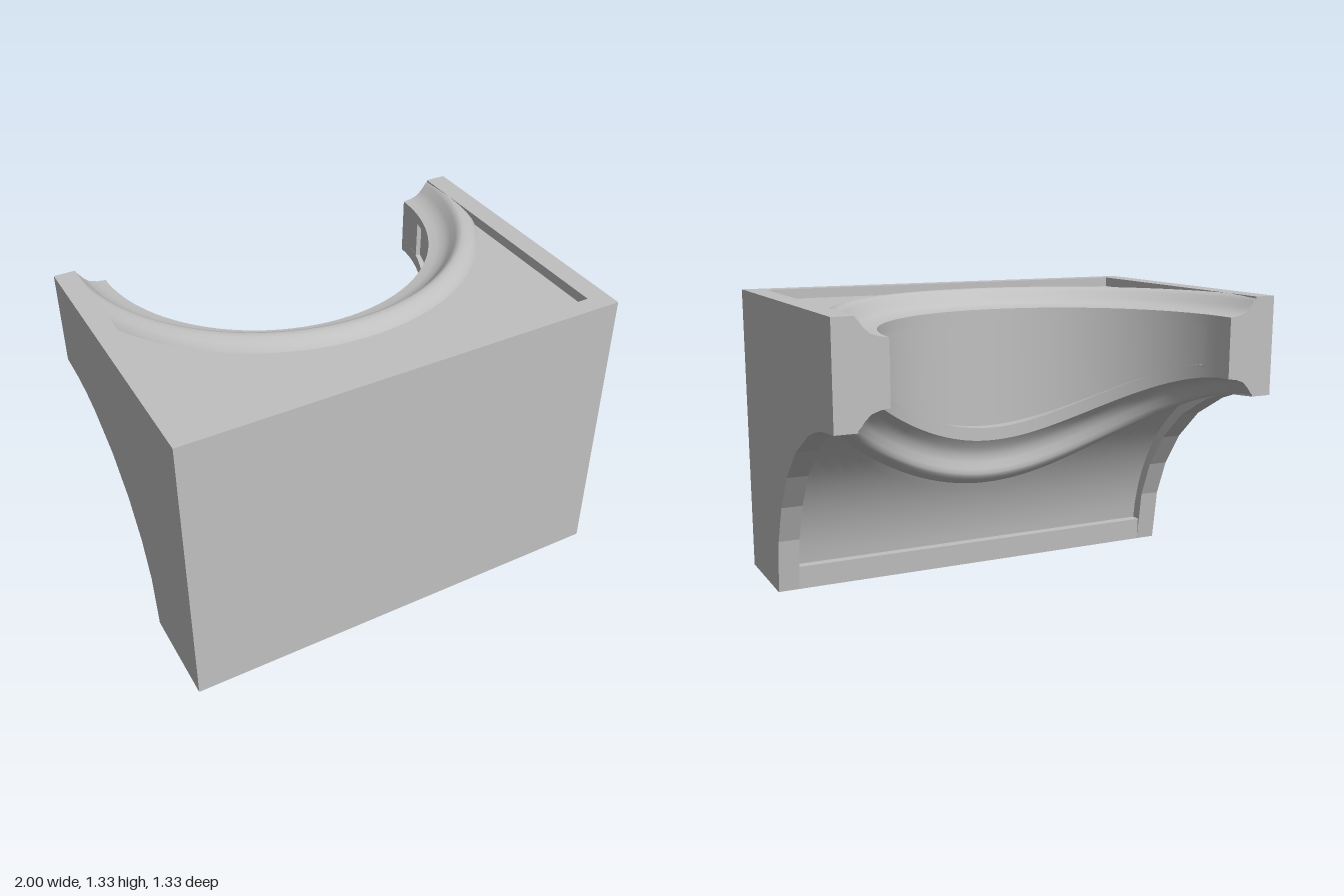
import * as THREE from 'three';
import { toCreasedNormals } from 'three/addons/utils/BufferGeometryUtils.js';

const W = 1, H = 1.33, D = 0.667;   // half width, height, half depth
const FRAME = 0.905;                // inner edge of the side frames
const VAULT = 0.893;                // vault radius, axis along x at y = 0, z = -D
const WELL = 0.775;                 // well radius, axis along y at x = 0, z = -D
const DROP = 0.085;                 // depth of the moulding at the well edge
const SILL = 0.12;                  // vault angle covered by the bottom frame

// moulding section: distance from the well edge, depth below the face
const SECTION = [[0, DROP], [0.04, 0.08], [0.075, 0.068], [0.1, 0.045], [0.12, 0.018], [0.135, 0.004],
  [0.15, 0], [0.17, 0.004], [0.195, 0.014], [0.213, 0.027], [0.225, 0.045]];
const RECESS = 0.045;

export function createModel() {
  const group = new THREE.Group();
  const stone = new THREE.MeshStandardMaterial({ color: 0xc0c0c0, side: THREE.DoubleSide });
  stone.name = 'grey stone';

  const add = (name, geometry) => {
    const mesh = new THREE.Mesh(geometry, stone);
    mesh.name = name;
    group.add(mesh);
    return mesh;
  };

  // surface through one row of points for each angle
  const surface = (name, angles, rowAt, flip) => {
    const rows = angles.map(rowAt), n = rows[0].length, index = [];
    for (let i = 0; i < rows.length - 1; i++) {
      for (let j = 0; j < n - 1; j++) {
        const a = i * n + j, b = a + n, c = a + 1, d = b + 1;
        if (flip) index.push(a, b, c, b, d, c);
        else index.push(a, c, b, b, c, d);
      }
    }
    const g = new THREE.BufferGeometry().setFromPoints(rows.flat());
    g.setIndex(index);
    add(name, toCreasedNormals(g, 0.55));
  };

  const shapeOf = (pts) => new THREE.Shape(pts.map(([a, b]) => new THREE.Vector2(a, b)));
  // (z, y) outline extruded from x1 down to x0
  const slab = (name, pts, x0, x1) => {
    const g = new THREE.ExtrudeGeometry(shapeOf(pts), { depth: x1 - x0, bevelEnabled: false });
    add(name, g.rotateY(-Math.PI / 2).translate(x1, 0, 0));
  };

  // frames: sides with the arch cut, front wall and sill
  const arch = [0, 16, 28, 40.5, 54, 68, 74, 80.5, 90].map((deg) => {
    const a = THREE.MathUtils.degToRad(deg);
    return [VAULT * Math.cos(a) - D, VAULT * Math.sin(a)];
  });
  const side = [[D, 0], [D, H], [-D, H], ...arch.reverse()];
  slab('leftSide', side, FRAME, W);
  slab('rightSide', side, -W, -FRAME);
  add('frontWall', new THREE.BoxGeometry(2 * W, H, 0.082)).position.set(0, H / 2, D - 0.041);
  slab('bottomFrame', [[D, 0], [D, VAULT * Math.sin(SILL)],
    [VAULT * Math.cos(SILL) - D, VAULT * Math.sin(SILL)], [VAULT - D, 0]], -FRAME, FRAME);

  const sweep = (from, to, n) => Array.from({ length: n + 1 }, (_, i) => from + (to - from) * i / n);
  const angles = sweep(-Math.PI / 2, Math.PI / 2, 64);

  // the lower lip of the well leans slightly inward at the middle
  const lipRadius = (t) => WELL - 0.035 * Math.cos(t) ** 2;

  // each decorated face: edge curve in flat coordinates, map into space, far edge of its panel
  const faces = [
    { name: 'top', flip: false, far: D + 0.586,
      edge: (t) => [WELL * Math.sin(t), WELL * Math.cos(t)],
      map: (x, q, d) => new THREE.Vector3(x, H - d, q - D) },
    { name: 'vault', flip: true, far: VAULT * (Math.PI / 2 - SILL + 0.02),
      edge: (t) => {
        const r = lipRadius(t);
        return [r * Math.sin(t), VAULT * Math.asin(r * Math.cos(t) / (VAULT + DROP))];
      },
      map: (x, q, d) => new THREE.Vector3(x, (VAULT + d) * Math.cos(q / VAULT),
        (VAULT + d) * Math.sin(q / VAULT) - D) },
  ];
  for (const { name, flip, far, edge, map } of faces) {
    const offset = (t, w) => {
      const [x, q] = edge(t), [x0, q0] = edge(t - 0.001), [x1, q1] = edge(t + 0.001);
      const len = Math.hypot(x1 - x0, q1 - q0);
      return [x - (q1 - q0) / len * w, q + (x1 - x0) / len * w];
    };
    surface(name + 'Moulding', angles, (t) => SECTION.map(([w, d]) => map(...offset(t, w), d)), flip);
    // sunken panel from the moulding to the frame
    surface(name + 'Panel', angles, (t) => {
      const [x, q] = offset(t, 0.225);
      return sweep(q, far, 10).map((s) => map(x, s, RECESS));
    }, flip);
  }

  // well wall with a sunken panel between its trims
  const END = 1.37;
  const wallRow = (t, inset) => {
    const lip = lipRadius(t), top = H - DROP;
    const low = Math.sqrt((VAULT + DROP) ** 2 - (lip * Math.cos(t)) ** 2);
    const back = inset ? WELL + 0.022 : WELL;
    return [[WELL, top], [WELL, top - 0.045], [back, top - 0.045], [back, low + 0.06], [lip, low + 0.06], [lip, low]]
      .map(([r, y]) => new THREE.Vector3(r * Math.sin(t), y, r * Math.cos(t) - D));
  };
  const wall = [
    ...sweep(-Math.PI / 2, -END, 4).map((t) => [t, false]),
    ...sweep(-END, END, 56).map((t) => [t, true]),
    ...sweep(END, Math.PI / 2, 4).map((t) => [t, false]),
  ];
  surface('wellWall', wall, ([t, inset]) => wallRow(t, inset), true);

  // back end faces following the moulding section
  for (const s of [-1, 1]) {
    const upper = SECTION.map(([w, d]) => [s * (WELL + w), H - d]);
    const lower = SECTION.map(([w, d]) => [s * (WELL + w), VAULT + d]).reverse();
    const g = new THREE.ShapeGeometry(shapeOf([...upper, ...lower]));
    const end = add(s > 0 ? 'leftEnd' : 'rightEnd', g.rotateY(Math.PI));
    end.position.z = -D;
    end.scale.x = 1;
  }
  return group;
}
